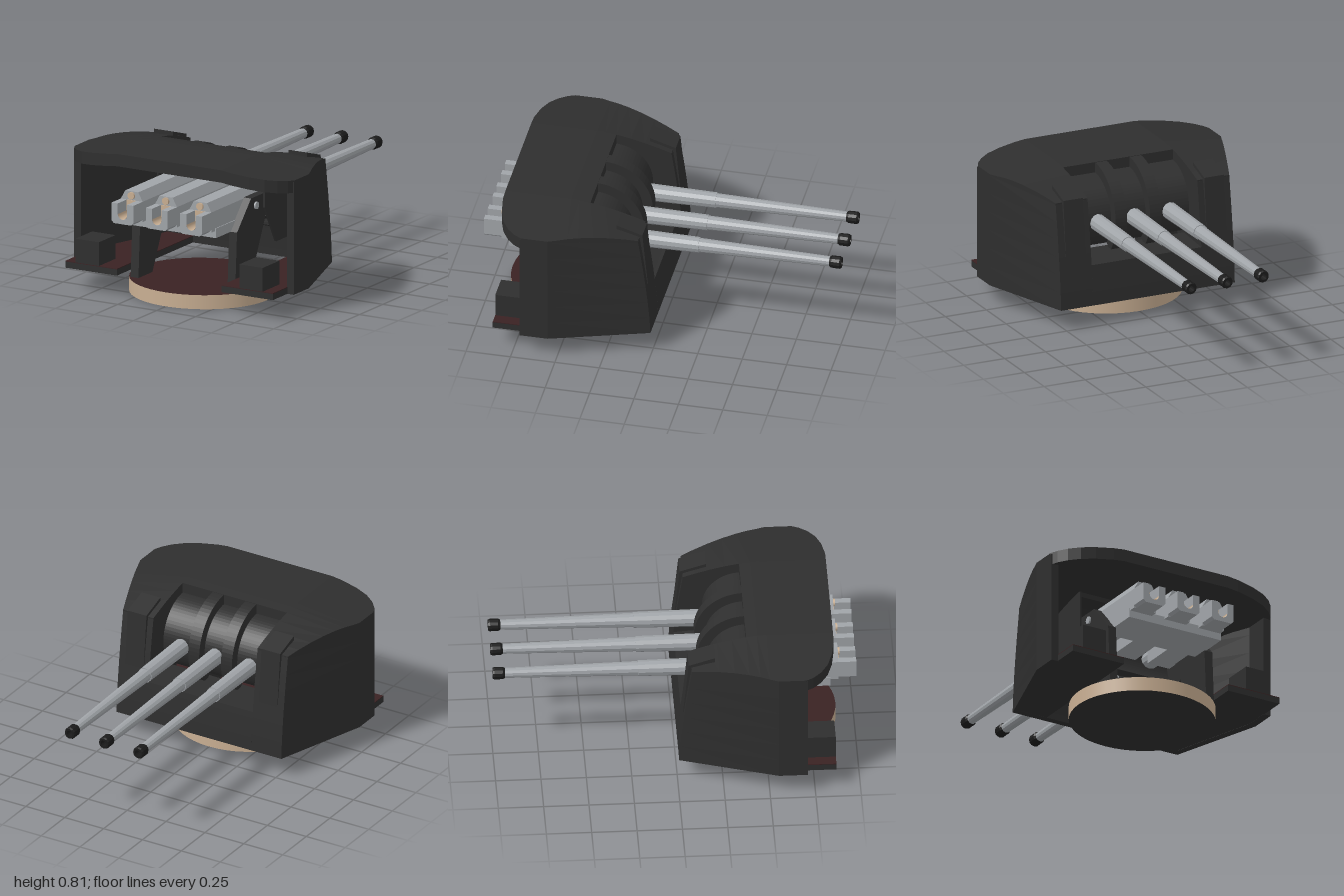
import * as THREE from 'three';

const mat = (name, color, side = THREE.FrontSide) => {
  const m = new THREE.MeshStandardMaterial({ color, side });
  m.name = name;
  return m;
};

// Roof height: flat centre, sides slope down, curved fall toward the gun face
function roofY(x, z) {
  const t = THREE.MathUtils.clamp((z - 0.08) / 0.42, 0, 1);
  return 0.815 - 0.12 * Math.max(0, Math.abs(x) - 0.33) * t - 0.09 * Math.pow(1 - t, 1.6);
}

const toShape = (pts) => new THREE.Shape(pts.map(([a, b]) => new THREE.Vector2(a, b)));

// Profile in (z, y), extruded from x0 to x1
function extrudeX(shape, x0, x1) {
  const g = new THREE.ExtrudeGeometry(shape, { depth: x1 - x0, bevelEnabled: false, curveSegments: 14 });
  return g.rotateY(-Math.PI / 2).translate(x1, 0, 0);
}

// Outline in (x, z), extruded from y0 to y1
function extrudeY(pts, y0, y1, steps = 1) {
  const g = new THREE.ExtrudeGeometry(toShape(pts), { depth: y1 - y0, bevelEnabled: false, steps });
  return g.rotateX(Math.PI / 2).translate(0, y1, 0);
}

// Profile in (x, y), extruded from z0 to z1
function extrudeZ(shape, z0, z1) {
  return new THREE.ExtrudeGeometry(shape, { depth: z1 - z0, bevelEnabled: false, curveSegments: 8 }).translate(0, 0, z0);
}

// Armour wall: upright plan whose top follows the roof and whose gun face leans back
function wall(pts, top) {
  const g = extrudeY(pts, 0, 1, 6), p = g.attributes.position;
  for (let i = 0; i < p.count; i++) {
    const x = p.getX(i), z = p.getZ(i), h = p.getY(i);
    const y = 0.12 + h * ((top ?? roofY(x, z + 0.07) - 0.008) - 0.12);
    const lean = 0.07 * Math.pow((y - 0.12) / 0.6, 1.4);
    p.setXYZ(i, x, y, z + lean * THREE.MathUtils.clamp((0.55 - z) / 0.54, 0, 1));
  }
  g.computeVertexNormals();
  return g;
}

// Roof slab: closed cross-section loops joined along z
function slab(rows) {
  const pos = [], idx = [], n = rows[0].xs.length, m = 2 * n;
  for (const { z, xs } of rows) {
    for (const x of xs) pos.push(x, roofY(x, z), z);
    for (const x of [...xs].reverse()) pos.push(x, roofY(x, z) - 0.07, z);
  }
  for (let r = 0; r < rows.length - 1; r++) {
    for (let i = 0; i < m; i++) {
      const a = r * m + i, b = r * m + (i + 1) % m;
      idx.push(a, a + m, b, b, a + m, b + m);
    }
  }
  const last = (rows.length - 1) * m;
  for (let i = 0; i < n - 1; i++) {
    const j = m - 1 - i;
    idx.push(i, i + 1, j, i + 1, j - 1, j);
    idx.push(last + i, last + j, last + i + 1, last + i + 1, last + j, last + j - 1);
  }
  const g = new THREE.BufferGeometry();
  g.setAttribute('position', new THREE.Float32BufferAttribute(pos, 3));
  g.setIndex(idx);
  const flat = g.toNonIndexed();
  flat.computeVertexNormals();
  return flat;
}

// Curved shield profile around the trunnion
function arcProfile(rOut, rIn) {
  const s = new THREE.Shape(), a = Math.PI * 0.48, b = Math.PI * 1.24;
  s.absarc(0.4, 0.53, rOut, a, b, false);
  s.absarc(0.4, 0.53, rIn, b, a, true);
  return s;
}

export function createModel() {
  const charcoal = mat('charcoal armour', 0x2e2e2e, THREE.DoubleSide);
  const black = mat('muzzle black', 0x1b1b1b);
  const red = mat('deck red', 0x3a2223);
  const tan = mat('tan metal', 0xc8ae92, THREE.DoubleSide);
  const grey = mat('gun grey', 0xa0a4a8);
  const root = new THREE.Group();
  root.name = 'gunTurret';
  const add = (name, geo, material, parent = root) => {
    const m = new THREE.Mesh(geo, material);
    m.name = name;
    parent.add(m);
    return m;
  };
  const box = (x0, x1, y0, y1, z0, z1) => new THREE.BoxGeometry(x1 - x0, y1 - y0, z1 - z0)
    .translate((x0 + x1) / 2, (y0 + y1) / 2, (z0 + z1) / 2);

  // Turntable
  const ring = add('turntable', new THREE.CylinderGeometry(0.409, 0.409, 0.08, 48), [tan, red, charcoal]);
  ring.scale.z = 0.955;
  ring.position.set(0, 0.04, 0.51);

  // Roof: full-width rear slab with rounded corners, then a slab either side of the gun opening
  const width = (z) => Math.min(0.705, 0.53 + (z - 0.08) / 0.47 * 0.175);
  const rear = [[0.39], [0.45], [0.5], [0.55], [0.7], [0.74, 0.685], [0.785, 0.645], [0.825, 0.585], [0.852, 0.505], [0.868, 0.4]];
  add('roof', slab(rear.map(([z, w = width(z)]) => ({ z, xs: [-w, -0.335, 0.335, w] }))), charcoal);
  const frontZ = [0.08, 0.15, 0.23, 0.31, 0.39];

  for (const s of [1, -1]) {
    const side = new THREE.Group();
    side.name = s > 0 ? 'leftSide' : 'rightSide';
    root.add(side);
    const flip = (pts) => pts.map(([x, z]) => [x * s, z]);
    const span = (a, b) => (s > 0 ? [a, b] : [-b, -a]);

    add('frontRoof', slab(frontZ.map((z) => ({ z, xs: span(0.335, width(z)) }))), charcoal, side);
    add('sideWall', wall(flip([[0.335, 0.01], [0.53, 0.01], [0.705, 0.55], [0.705, 0.71],
      [0.66, 0.71], [0.66, 0.56], [0.5, 0.05], [0.335, 0.05]])), charcoal, side);

    // Walkway with red top and locker
    const floor = flip([[0.335, 0.03], [0.525, 0.03], [0.665, 0.48], [0.665, 0.868], [0.335, 0.868]]);
    add('walkway', extrudeY(floor, 0.121, 0.156), charcoal, side);
    add('walkwayTop', extrudeY(floor, 0.156, 0.16), red, side);
    add('locker', box(...span(0.45, 0.6), 0.16, 0.295, 0.69, 0.868), charcoal, side);

    // Gun mount bracket, tapering upward
    add('bracket', extrudeX(toShape([[0.57, 0.08], [0.72, 0.08], [0.7, 0.42], [0.55, 0.58], [0.38, 0.58], [0.38, 0.48]]),
      ...span(0.285, 0.335)), charcoal, side);
    // Cheek of the gun opening
    add('cheek', extrudeX(toShape([[0.04, 0.28], [0.3, 0.28], [0.42, 0.5], [0.42, 0.74], [0.39, 0.78],
      [0.25, 0.75], [0.08, 0.71]]), ...span(0.335, 0.347)), charcoal, side);
    // Raised sight housing on the front corner
    add('sightHousing', extrudeX(toShape([[0.033, 0.42], [0.064, 0.738], [0.21, 0.784], [0.21, 0.72],
      [0.1, 0.68], [0.08, 0.42]]), ...span(0.37, 0.49)), charcoal, side);
    // Rib between gun slots
    add('shieldRib', extrudeX(arcProfile(0.272, 0.19), ...span(0.07, 0.14)), charcoal, side);
  }

  // Front sill and curved shield in the gun opening
  add('lowerFront', wall([[-0.335, 0.01], [0.335, 0.01], [0.335, 0.05], [-0.335, 0.05]], 0.35), charcoal);
  add('sill', extrudeX(toShape([[0.045, 0.28], [0.25, 0.35], [0.25, 0.365], [0.045, 0.35]]), -0.335, 0.335), charcoal);
  add('curvedShield', extrudeX(arcProfile(0.215, 0.18), -0.335, 0.335), charcoal);

  // Shared cradle and trunnion
  add('cradle', box(-0.295, 0.295, 0.42, 0.475, 0.6, 0.858), grey);
  add('trunnion', new THREE.CylinderGeometry(0.021, 0.021, 0.69, 12).rotateZ(Math.PI / 2).translate(0, 0.53, 0.5), grey);

  // Breech profiles
  const body = toShape([[-0.07, 0.46], [0.07, 0.46], [0.07, 0.575], [0.042, 0.625], [-0.042, 0.625], [-0.07, 0.575]]);
  const tray = toShape([[-0.055, 0.46], [0.055, 0.46], [0.07, 0.475], [0.07, 0.575], [0.03, 0.575], [0.03, 0.515]]);
  tray.absarc(0, 0.515, 0.03, 0, -Math.PI, true);
  tray.lineTo(-0.03, 0.575).lineTo(-0.07, 0.575).lineTo(-0.07, 0.475);
  const slot = toShape([[0.03, 0.575], [-0.03, 0.575], [-0.03, 0.515]]);
  slot.absarc(0, 0.515, 0.03, Math.PI, Math.PI * 2, false);

  // Barrel segments: [name, rear z, front z, rear radius, front radius, material]
  const segments = [
    ['barrelSleeve', 0.4, -0.2, 0.051, 0.044, grey],
    ['barrel', -0.19, -0.94, 0.04, 0.028, grey],
    ['muzzleBand', -0.932, -0.945, 0.028, 0.035, black],
  ];
  for (const x of [-0.22, 0, 0.22]) {
    const gun = new THREE.Group();
    gun.name = 'gun';
    gun.position.x = x;
    root.add(gun);
    add('breech', extrudeZ(body, 0.32, 0.9), grey, gun);
    add('loadingTray', extrudeZ(tray, 0.9, 1), grey, gun);
    add('breechFace', extrudeZ(slot, 0.9, 0.905), tan, gun);
    add('trayLining', new THREE.CylinderGeometry(0.029, 0.029, 0.098, 10, 1, true, -Math.PI / 2, Math.PI)
      .rotateX(Math.PI / 2).translate(0, 0.515, 0.95), tan, gun);
    add('recoilCap', new THREE.CylinderGeometry(0.021, 0.021, 0.03, 14).rotateX(Math.PI / 2).translate(0, 0.601, 0.896), tan, gun);
    for (const [name, z0, z1, r0, r1, m] of segments) {
      const g = new THREE.CylinderGeometry(r0, r1, z0 - z1, 12).toNonIndexed();
      g.computeVertexNormals();
      add(name, g.rotateX(Math.PI / 2).translate(0, 0.53, (z0 + z1) / 2), m, gun);
    }
    // Hollow muzzle
    const lip = [[0.034, 0.055], [0.035, 0.01], [0.03, 0], [0.018, 0], [0.016, 0.045], [0, 0.045]];
    const muzzle = new THREE.LatheGeometry(lip.map(([r, d]) => new THREE.Vector2(r, -d)).reverse(), 12).toNonIndexed();
    muzzle.computeVertexNormals();
    const mesh = add('muzzle', muzzle.rotateX(-Math.PI / 2).translate(0, 0.53, -1), black, gun);
    mesh.material = black;
    black.side = THREE.DoubleSide;
  }
  return root;
}
